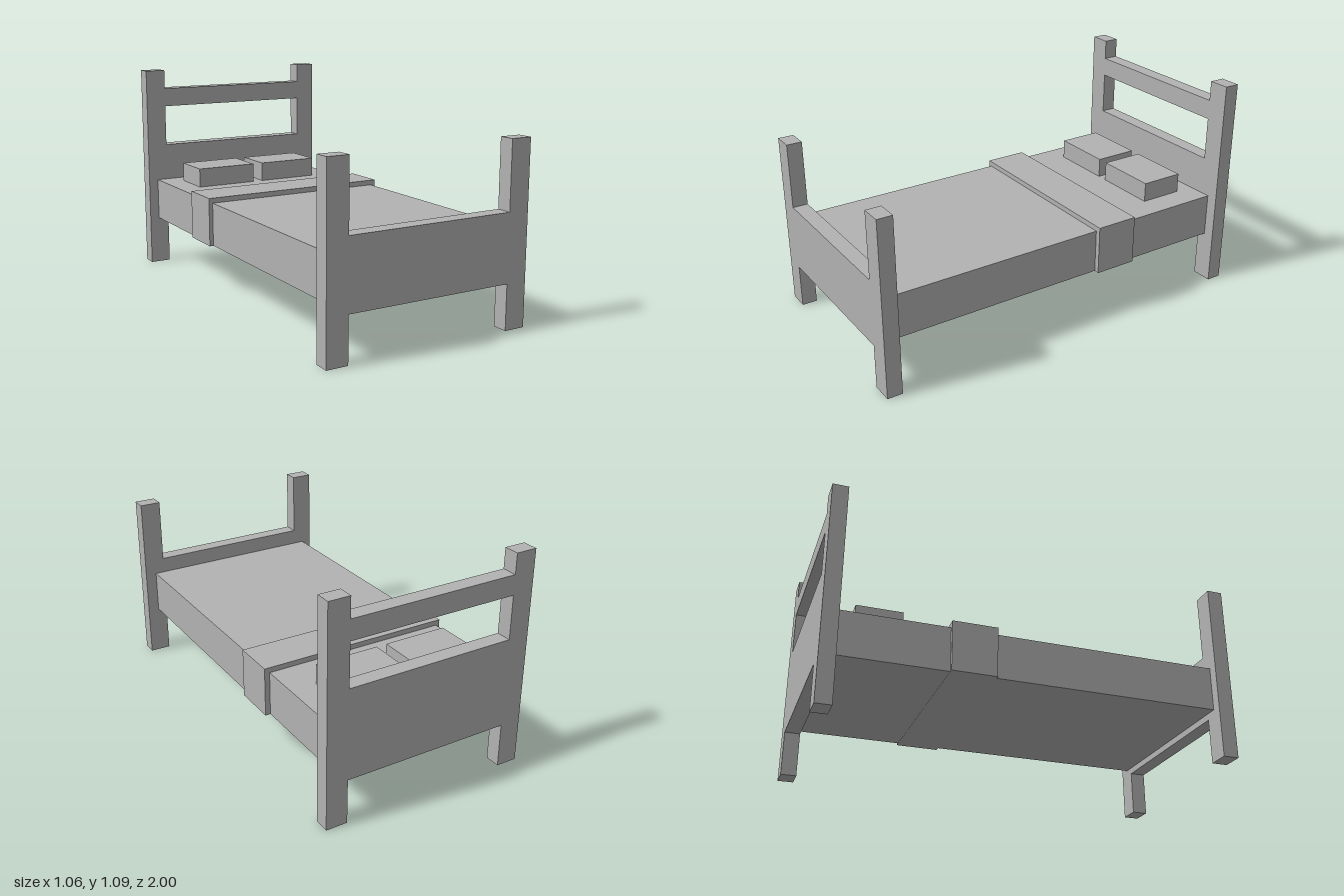
import * as THREE from 'three';

const grey = new THREE.MeshStandardMaterial({ color: 0xb2b2b2 });
grey.name = 'plain grey';

// Box given by its extents along each axis
function box(name, [x0, x1], [y0, y1], [z0, z1]) {
  const mesh = new THREE.Mesh(new THREE.BoxGeometry(x1 - x0, y1 - y0, z1 - z0), grey);
  mesh.position.set((x0 + x1) / 2, (y0 + y1) / 2, (z0 + z1) / 2);
  mesh.name = name;
  return mesh;
}

const OUTER = 0.53, INNER = 0.423, DEPTH = 0.077;

// Two posts joined by a panel, cut from one board; an optional top rail leaves an open slot
function endBoard(name, height, panelTop, rail, z) {
  const panelBottom = 0.222;
  const top = rail ? rail[1] : panelTop;
  const shape = new THREE.Shape([
    [-OUTER, 0], [-INNER, 0], [-INNER, panelBottom], [INNER, panelBottom],
    [INNER, 0], [OUTER, 0], [OUTER, height], [INNER, height],
    [INNER, top], [-INNER, top], [-INNER, height], [-OUTER, height],
  ].map(([x, y]) => new THREE.Vector2(x, y)));
  if (rail) {
    shape.holes.push(new THREE.Path([
      [-INNER, panelTop], [-INNER, rail[0]], [INNER, rail[0]], [INNER, panelTop],
    ].map(([x, y]) => new THREE.Vector2(x, y))));
  }
  const mesh = new THREE.Mesh(
    new THREE.ExtrudeGeometry(shape, { depth: DEPTH, bevelEnabled: false }), grey);
  mesh.position.z = z;
  mesh.name = name;
  return mesh;
}

export function createModel() {
  const bed = new THREE.Group();
  bed.name = 'bed';

  // Frame ends
  bed.add(endBoard('headboard', 1.087, 0.67, [0.887, 0.986], -1));
  bed.add(endBoard('footboard', 0.886, 0.555, null, 1 - DEPTH));

  // Bedding
  bed.add(box('mattress', [-0.48, 0.472], [0.254, 0.474], [-0.923, 0.923]));
  bed.add(box('foldedBlanket', [-0.5, 0.498], [0.253, 0.5], [-0.406, -0.188]));

  // Pillows
  bed.add(box('rightPillow', [-0.364, -0.038], [0.474, 0.574], [-0.826, -0.602]));
  bed.add(box('leftPillow', [0.016, 0.342], [0.474, 0.574], [-0.826, -0.602]));

  return bed;
}
